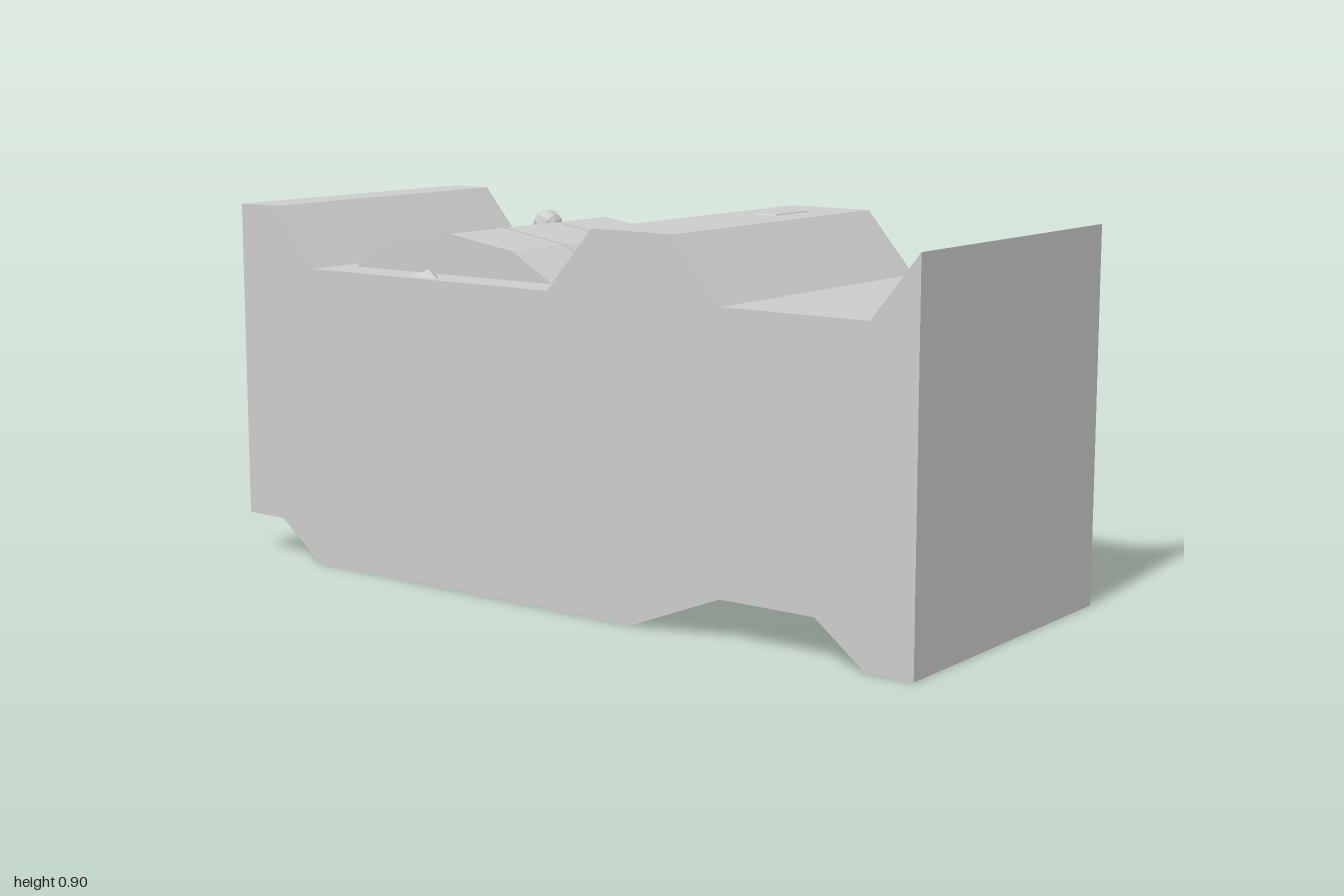
import * as THREE from 'three';
import { ConvexGeometry } from 'three/addons/geometries/ConvexGeometry.js';

const grey = new THREE.MeshStandardMaterial({ color: 0xcccccc, flatShading: true });

function add(parent, name, geometry) {
  const mesh = new THREE.Mesh(geometry, grey);
  mesh.name = name;
  parent.add(mesh);
  return mesh;
}

// Extrudes a [z, y] side profile across the width from x0 to x1
function sideExtrude(profile, x0, x1) {
  const shape = new THREE.Shape(profile.map(([z, y]) => new THREE.Vector2(z, y)));
  return new THREE.ExtrudeGeometry(shape, { depth: x1 - x0, bevelEnabled: false })
    .rotateY(-Math.PI / 2)
    .translate(x1, 0, 0);
}

export function createModel() {
  const model = new THREE.Group();
  model.name = 'slotMachine';

  // Cabinet lying on its back
  add(model, 'cabinet', sideExtrude([
    [1, 0], [1, 0.9], [0.88, 0.75], [0.5, 0.75], [0.37, 0.9], [0.14, 0.9],
    [0.01, 0.75], [-0.75, 0.75], [-0.88, 0.9], [-1, 0.9], [-1, 0.1],
    [-0.88, 0.1], [-0.75, 0], [0.25, 0], [0.5, 0.1], [0.75, 0.1], [0.88, 0],
  ], -0.445, 0.355));

  // Three faceted reels with narrow gaps
  const reelProfile = [
    [-0.05, 0.742], [-0.19, 0.82], [-0.385, 0.85], [-0.58, 0.82], [-0.72, 0.742],
  ];
  for (let i = 0; i < 3; i++) {
    const x = -0.337 + i * 0.203;
    add(model, 'reel' + (i + 1), sideExtrude(reelProfile, x, x + 0.194));
  }

  // Payline pointers either side of the reels, tips facing inward
  for (const side of [-1, 1]) {
    const points = [[0.05, 0, 0.045], [0.05, 0, -0.045], [0, 0, 0], [0.03, 0.018, 0]]
      .map(([x, y, z]) => new THREE.Vector3(-0.045 + side * (0.325 + x), 0.75 + y, -0.4 + z));
    add(model, side < 0 ? 'rightPointer' : 'leftPointer', new ConvexGeometry(points));
  }

  // Low coin plate on the raised ridge
  const plate = new THREE.CylinderGeometry(0.045, 0.05, 0.006, 4, 1)
    .rotateY(Math.PI / 4)
    .scale(2.12, 1, 0.95);
  add(model, 'coinPlate', plate).position.set(0.15, 0.9, 0.25);

  // Pull lever: flange, hub, rod and knob
  const lever = new THREE.Group();
  lever.name = 'lever';
  lever.position.set(0.4, 0.66, -0.4);
  model.add(lever);
  const flange = new THREE.CylinderGeometry(0.06, 0.06, 0.012, 12).rotateZ(Math.PI / 2);
  add(lever, 'leverFlange', flange).position.x = -0.046;
  const hub = new THREE.CylinderGeometry(0.04, 0.04, 0.08, 10).rotateZ(Math.PI / 2);
  add(lever, 'leverHub', hub).position.x = -0.007;

  const arm = new THREE.Group();
  arm.name = 'leverArm';
  const reach = new THREE.Vector3(0.003, 0.145, -0.3);
  arm.quaternion.setFromUnitVectors(new THREE.Vector3(0, 1, 0), reach.clone().normalize());
  lever.add(arm);
  const length = reach.length();
  add(arm, 'leverRod', new THREE.CylinderGeometry(0.018, 0.018, length, 8)).position.y = length / 2;
  add(arm, 'leverKnob', new THREE.SphereGeometry(0.04, 10, 8)).position.y = length;

  return model;
}
